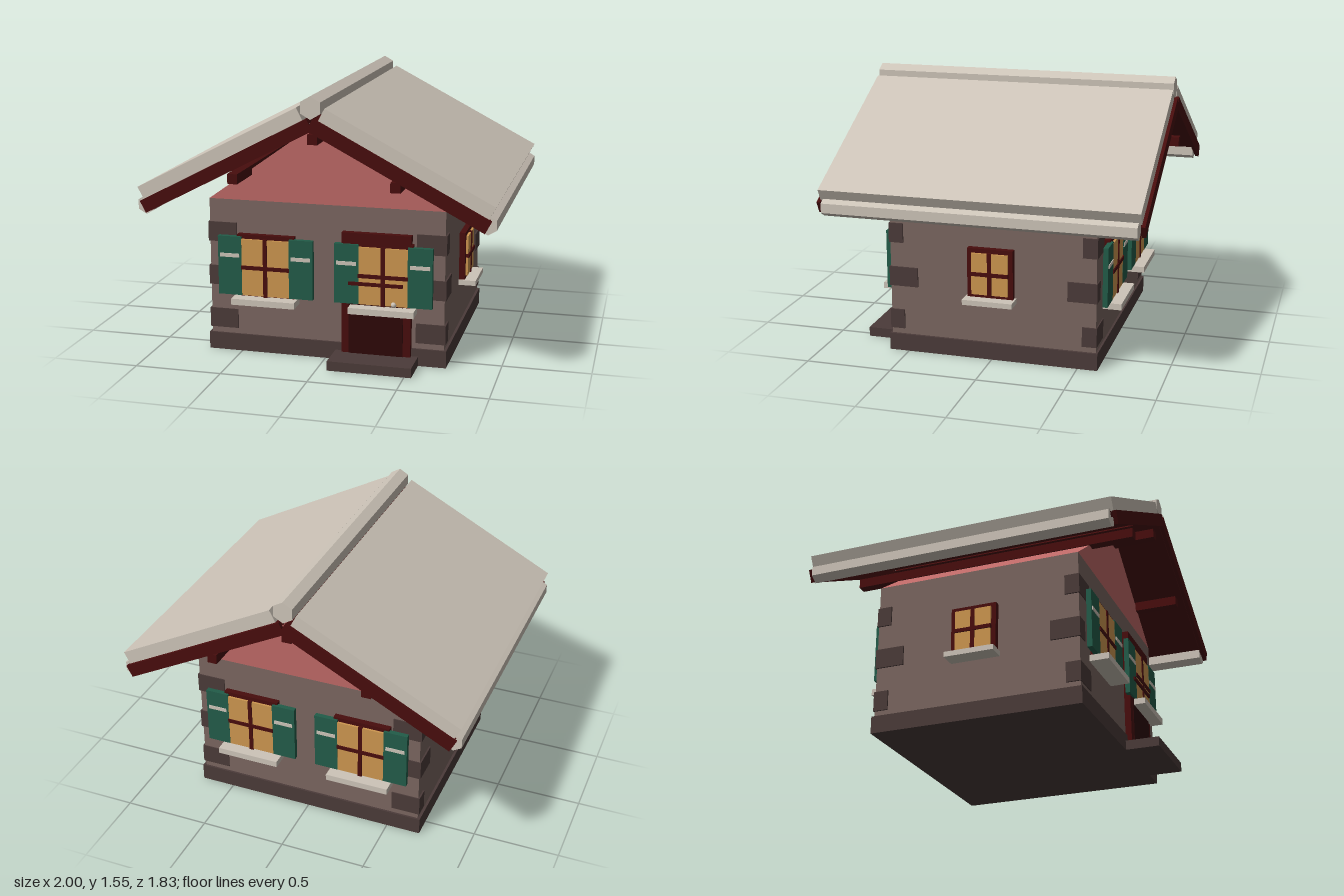
import * as THREE from 'three';

function material(name, color) {
  const m = new THREE.MeshStandardMaterial({ color });
  m.name = name;
  return m;
}

export function createModel() {
  const cream = material('cream stone', 0xcdc4b8);
  const plaster = material('brown plaster', 0x7a6660);
  const stone = material('dark stone', 0x4b3b39);
  const pink = material('pink gable', 0xbd6866);
  const wood = material('dark red wood', 0x480d0d);
  const doorWood = material('door wood', 0x2d0707);
  const green = material('green shutter', 0x225c49);
  const amber = material('amber glass', 0xcd964f);

  const house = new THREE.Group();
  house.name = 'house';

  // Box given by its low and high corner on each axis
  function box(parent, name, mat, [x0, x1], [y0, y1], [z0, z1]) {
    const mesh = new THREE.Mesh(new THREE.BoxGeometry(x1 - x0, y1 - y0, z1 - z0), mat);
    mesh.position.set((x0 + x1) / 2, (y0 + y1) / 2, (z0 + z1) / 2);
    mesh.name = name;
    parent.add(mesh);
    return mesh;
  }

  // Outline in x and y, pushed along z
  function prism(parent, name, mat, points, z0, z1) {
    const shape = new THREE.Shape(points.map(([x, y]) => new THREE.Vector2(x, y)));
    const geo = new THREE.ExtrudeGeometry(shape, { depth: z1 - z0, bevelEnabled: false });
    geo.translate(0, 0, z0);
    const mesh = new THREE.Mesh(geo, mat);
    mesh.name = name;
    parent.add(mesh);
    return mesh;
  }

  // Six-sided bar along z
  function hexBar(name, radius, length, x, y) {
    const geo = new THREE.CylinderGeometry(radius, radius, length, 6).toNonIndexed();
    geo.rotateX(Math.PI / 2);
    geo.computeVertexNormals();
    const mesh = new THREE.Mesh(geo, cream);
    mesh.position.set(x, y, 0);
    mesh.name = name;
    house.add(mesh);
  }

  // Body
  box(house, 'base', stone, [-0.7, 0.7], [0, 0.1], [-0.615, 0.615]);
  box(house, 'walls', plaster, [-0.685, 0.685], [0.05, 0.9], [-0.603, 0.603]);
  prism(house, 'gable', pink, [[-0.685, 0.9], [0.685, 0.9], [0, 1.39]], -0.603, 0.603);

  // Corner stones, alternately long on the front and on the side
  for (const sx of [-1, 1]) for (const sz of [-1, 1]) {
    [0.19, 0.448, 0.707].forEach((y, i) => {
      const w = i === 1 ? 0.085 : 0.17;
      const d = i === 1 ? 0.17 : 0.085;
      const q = box(house, 'cornerStone', stone, [0, w], [y - 0.057, y + 0.057], [0, d]);
      q.position.set(sx * (0.694 - w / 2), y, sz * (0.609 - d / 2));
    });
  }

  // Roof: each side is built from boards lying along the slope
  const slope = Math.atan(0.522);
  const across = [Math.cos(slope), -Math.sin(slope)];
  const down = [-Math.sin(slope), -Math.cos(slope)];
  // Board outline on the +x side: top inner corner, length, thickness
  function slopeBoard(name, mat, [x, y], length, thick, z0, z1) {
    const at = (a, d) => [x + across[0] * a + down[0] * d, y + across[1] * a + down[1] * d];
    const pts = [at(0, 0), at(0, thick), at(length, thick), at(length, 0)];
    prism(house, name, mat, pts, z0, z1);
    prism(house, name, mat, pts.map(([px, py]) => [-px, py]), z0, z1);
  }
  slopeBoard('roofSlab', cream, [0.078, 1.492], 1.036, 0.076, -0.896, 0.896);
  slopeBoard('roofLining', wood, [0.02, 1.436], 1.07, 0.03, -0.88, 0.88);
  for (const z of [-0.915, 0.893]) {
    slopeBoard('bargeBoard', wood, [0.018, 1.438], 1.082, 0.074, z, z + 0.022);
  }
  hexBar('ridgeCap', 0.063, 1.792, 0, 1.492);
  for (const s of [-1, 1]) hexBar('eaveBar', 0.054, 1.76, s * 0.953, 0.911);

  // Roof beams
  for (const [x, y] of [[0, 1.315], [-0.455, 1.077], [0.455, 1.077]]) {
    box(house, 'roofBeam', wood, [x - 0.028, x + 0.028], [y - 0.028, y + 0.028], [-0.86, 0.86]);
  }

  // Window facing +z, standing on a wall plane at z = 0
  function windowUnit(halfW, y0, y1, sill, shutters) {
    const g = new THREE.Group();
    g.name = 'window';
    const mid = (y0 + y1) / 2;
    box(g, 'frame', wood, [-halfW, halfW], [y0, y1], [-0.01, 0.035]);
    box(g, 'glass', amber, [-halfW + 0.027, halfW - 0.027], [y0 + 0.025, y1 - 0.025], [0, 0.048]);
    box(g, 'mullion', wood, [-0.012, 0.012], [y0 + 0.02, y1 - 0.02], [0, 0.053]);
    box(g, 'crossbar', wood, [-halfW + 0.025, halfW - 0.025], [mid - 0.011, mid + 0.011], [0, 0.055]);
    box(g, 'sill', cream, [-sill.w, sill.w], [sill.y0, sill.y1], [-0.01, sill.z]);
    if (shutters) for (const s of [-1, 1]) {
      const x = s * 0.21;
      box(g, 'shutter', green, [x - 0.07, x + 0.07], [0.35, 0.695], [0.02, 0.049]);
      box(g, 'shutterStripe', cream, [x - 0.057, x + 0.057], [0.573, 0.595], [0.047, 0.053]);
    }
    house.add(g);
    return g;
  }
  for (const sz of [1, -1]) for (const sx of [-1, 1]) {
    const g = windowUnit(0.168, 0.325, 0.707, { w: 0.187, y0: 0.308, y1: 0.344, z: 0.11 }, true);
    g.position.set(sx * 0.343, 0, sz * 0.603);
    if (sz < 0) g.rotation.y = Math.PI;
  }
  for (const s of [-1, 1]) {
    const g = windowUnit(0.133, 0.372, 0.663, { w: 0.145, y0: 0.348, y1: 0.378, z: 0.102 }, false);
    g.position.x = s * 0.685;
    g.rotation.y = s * Math.PI / 2;
  }

  // Door and step
  box(house, 'doorStep', stone, [0.06, 0.54], [0, 0.055], [0.6, 0.81]);
  box(house, 'doorFrame', wood, [0.102, 0.5], [0.05, 0.758], [0.59, 0.64]);
  box(house, 'doorPanel', doorWood, [0.145, 0.457], [0.055, 0.68], [0.6, 0.645]);
  box(house, 'doorRail', wood, [0.145, 0.457], [0.461, 0.48], [0.63, 0.662]);
  const knob = new THREE.Mesh(new THREE.SphereGeometry(0.016, 8, 6), cream);
  knob.name = 'doorKnob';
  knob.position.set(0.405, 0.36, 0.652);
  house.add(knob);

  return house;
}
